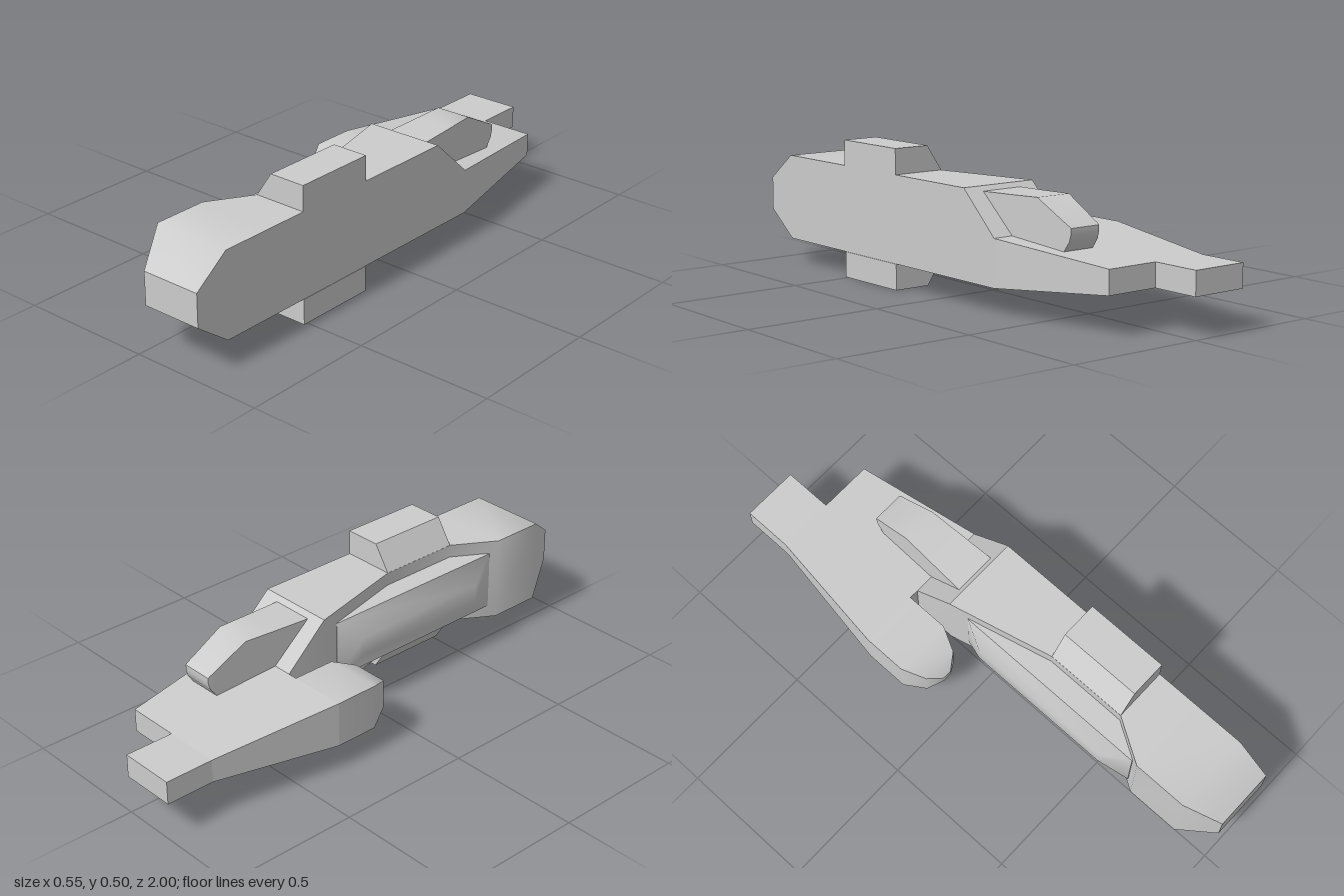
import * as THREE from 'three';
import { toCreasedNormals } from 'three/addons/utils/BufferGeometryUtils.js';

const material = new THREE.MeshStandardMaterial({ color: 0xcccccc });

// Closed loft through rectangles [z, x0, x1, y0, y1], listed from high z to low z
function loft(sections) {
  const positions = [], index = [];
  for (const [z, x0, x1, y0, y1] of sections) {
    positions.push(x0, y0, z, x1, y0, z, x1, y1, z, x0, y1, z);
  }
  for (let s = 0; s < sections.length - 1; s++) {
    for (let k = 0; k < 4; k++) {
      const a = s * 4 + k, b = s * 4 + (k + 1) % 4;
      index.push(a, a + 4, b + 4, a, b + 4, b);
    }
  }
  const e = (sections.length - 1) * 4;
  index.push(0, 1, 2, 0, 2, 3, e, e + 2, e + 1, e, e + 3, e + 2);
  const geometry = new THREE.BufferGeometry();
  geometry.setAttribute('position', new THREE.Float32BufferAttribute(positions, 3));
  geometry.setIndex(index);
  return toCreasedNormals(geometry, 0.65);
}

export function createModel() {
  const model = new THREE.Group();
  const add = (name, geometry) => {
    const mesh = new THREE.Mesh(geometry, material);
    mesh.name = name;
    model.add(mesh);
  };

  // Main hull: bevelled nose, waisted inner side, sloping rear
  const right = 0.27;
  add('hull', loft([
    [1, 0.042, right, 0.19, 0.311],
    [0.87, -0.025, right, 0.094, 0.408],
    [0.67, -0.025, right, 0.094, 0.408],
    [0.515, 0.07, right, 0.094, 0.408],
    [0.205, 0.07, right, 0.094, 0.408],
    [-0.18, -0.025, right, 0.094, 0.408],
    [-0.34, -0.025, right, 0.094, 0.26],
  ]));

  // Rear deck and tail block
  add('rearDeck', loft([
    [-0.34, -0.275, right, 0.094, 0.26],
    [-0.82, -0.205, 0.2, 0.138, 0.222],
  ]));
  add('tailBlock', loft([
    [-0.82, -0.205, 0.003, 0.138, 0.222],
    [-1, -0.205, 0.003, 0.138, 0.222],
  ]));

  // Rounded side pod in front of the deck
  add('sidePod', loft([
    [-0.067, -0.183, -0.148, 0.164, 0.19],
    [-0.1, -0.235, -0.098, 0.124, 0.23],
    [-0.18, -0.275, -0.06, 0.094, 0.26],
    [-0.34, -0.275, -0.06, 0.094, 0.26],
  ]));

  // Canopy behind the hull slope
  add('canopy', loft([
    [-0.195, 0.04, 0.201, 0.32, 0.392],
    [-0.34, 0.047, 0.194, 0.22, 0.397],
    [-0.46, 0.053, 0.188, 0.22, 0.402],
    [-0.585, 0.059, 0.182, 0.24, 0.337],
    [-0.61, 0.06, 0.181, 0.275, 0.325],
    [-0.617, 0.061, 0.18, 0.3, 0.32],
  ]));

  // Bevelled panel in the waist, lofted outward along -x
  add('sidePanel', loft([
    [0.05, -0.02, 0.53, 0.215, 0.285],
    [0.01, -0.11, 0.64, 0.142, 0.36],
    [-0.1, -0.11, 0.64, 0.142, 0.36],
  ]).rotateY(-Math.PI / 2));

  // Matching blocks above and below the hull
  for (const [name, side] of [['upperBlock', 1], ['lowerBlock', -1]]) {
    const points = [[0.07, 0.157], [0.132, 0.25], [right, 0.25], [right, 0.157]]
      .map(([x, y]) => new THREE.Vector2(x, 0.25 + side * y));
    const geometry = new THREE.ExtrudeGeometry(new THREE.Shape(points), { depth: 0.31, bevelEnabled: false });
    add(name, geometry.translate(0, 0, 0.205));
  }
  return model;
}
